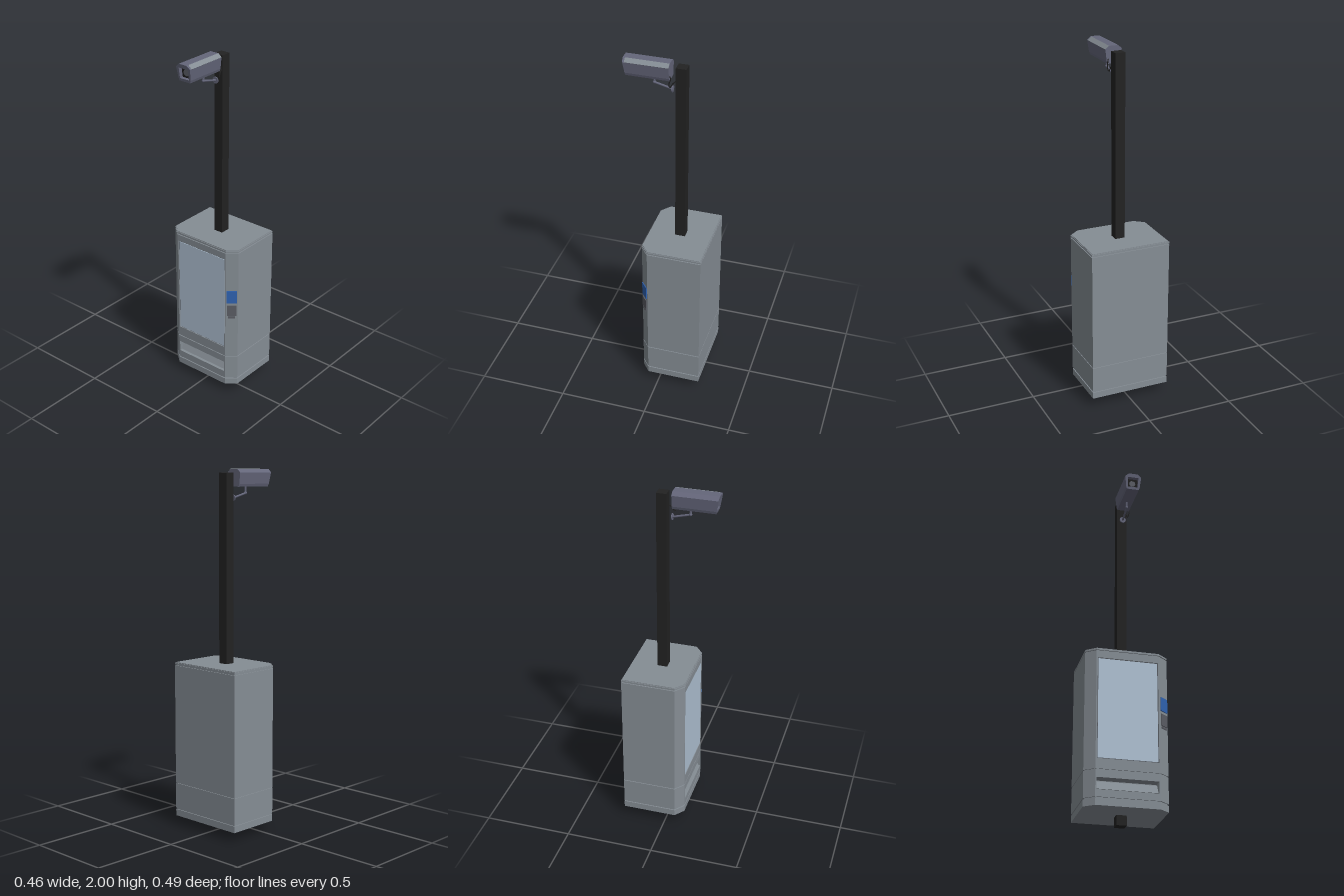
import * as THREE from 'three';

const flat = (name, color, side = THREE.FrontSide) => {
  const m = new THREE.MeshStandardMaterial({ color, side });
  m.name = name;
  return m;
};

export function createModel() {
  const group = new THREE.Group();
  const grey = flat('cabinet grey', 0x858d94);
  const dark = flat('dark grey', 0x5a5d64);
  const black = flat('black', 0x222222);
  const glass = flat('pale glass', 0xb0c2d4);
  const blue = flat('blue', 0x2f62b0);
  const slate = flat('camera slate', 0x64667a);

  const add = (name, geo, mat, x = 0, y = 0, z = 0, parent = group) => {
    const mesh = new THREE.Mesh(geo, mat);
    mesh.name = name;
    mesh.position.set(x, y, z);
    parent.add(mesh);
    return mesh;
  };
  const box = (name, w, h, d, mat, x, y, z, parent) =>
    add(name, new THREE.BoxGeometry(w, h, d), mat, x, y, z, parent);

  // Cabinet: stacked slices of a plan with cut front corners, optionally
  // inset for seams or notched at the front for openings
  const cabinet = new THREE.Group();
  cabinet.name = 'cabinet';
  group.add(cabinet);
  const slice = (name, y0, y1, inset = 0, notch = 0, half = 0.168) => {
    const w = 0.23 - inset, f = 0.105 - inset, b = -0.245 + inset;
    const c = 0.175 - inset * 0.5, s = 0.06 - inset * 0.5;
    const pts = [[-w, b], [-w, s], [-c, f]];
    if (notch) pts.push([-half, f], [-half, f - notch], [half, f - notch], [half, f]);
    pts.push([c, f], [w, s], [w, b]);
    const shape = new THREE.Shape(pts.map(([x, z]) => new THREE.Vector2(x, -z)));
    const geo = new THREE.ExtrudeGeometry(shape, { depth: y1 - y0, bevelEnabled: false });
    geo.rotateX(-Math.PI / 2);
    add(name, geo, grey, 0, y0, 0, cabinet);
  };
  slice('plinth', 0.055, 0.092);
  slice('plinthSeam', 0.092, 0.1, 0.006);
  slice('lowerBody', 0.1, 0.14);
  slice('slotBody', 0.14, 0.205, 0, 0.06);
  slice('aboveSlot', 0.205, 0.246);
  slice('middleSeam', 0.246, 0.251, 0.005);
  slice('doorSill', 0.251, 0.308);
  slice('doorBody', 0.308, 0.882, 0, 0.008);
  slice('doorHead', 0.882, 0.921);
  slice('topSeam', 0.921, 0.927, 0.006);
  slice('cap', 0.927, 0.936);
  slice('capEdge', 0.936, 0.94, 0.004);

  // Display window and delivery flap
  box('windowFrame', 0.336, 0.574, 0.003, dark, 0, 0.595, 0.0985, cabinet);
  box('window', 0.328, 0.566, 0.004, glass, 0, 0.595, 0.101, cabinet);
  const flap = box('deliveryFlap', 0.33, 0.055, 0.006, grey, 0, 0.168, 0.078, cabinet);
  flap.rotation.x = -0.5;

  // Payment panel on the cut corner
  const panel = new THREE.Group();
  panel.name = 'paymentPanel';
  panel.position.set(0.2025, 0, 0.0825);
  panel.rotation.y = Math.atan2(0.045, 0.055);
  cabinet.add(panel);
  box('cardReader', 0.058, 0.078, 0.006, blue, 0, 0.645, 0.002, panel);
  box('keypad', 0.054, 0.066, 0.006, dark, 0, 0.556, 0.002, panel);
  box('coinTray', 0.04, 0.012, 0.006, dark, 0, 0.513, 0.002, panel);

  // Square post running through the cabinet
  box('post', 0.056, 1.98, 0.056, black, 0, 0.99, -0.07);

  // Security camera housing: faceted section, front end sloping back below
  const cam = new THREE.Group();
  cam.name = 'camera';
  group.add(cam);
  const section = [[-0.035, 1.905], [0.035, 1.905], [0.04, 1.92], [0.047, 1.982],
    [0.026, 2.0], [-0.026, 2.0], [-0.047, 1.982], [-0.04, 1.92]];
  const hull = new THREE.Shape(section.map(([x, y]) => new THREE.Vector2(x, y)));
  const opening = [[-0.03, 1.92], [-0.03, 1.978], [0.03, 1.978], [0.03, 1.92]];
  const hole = new THREE.Path(opening.map(([x, y]) => new THREE.Vector2(x, y)));
  const slopeFront = (geo) => {
    const p = geo.attributes.position;
    for (let i = 0; i < p.count; i++) {
      if (p.getZ(i) > 0.1) p.setZ(i, p.getZ(i) - (2.0 - p.getY(i)) * 0.16);
    }
    geo.computeVertexNormals();
    return geo;
  };
  const housing = new THREE.ExtrudeGeometry(hull, { depth: 0.225, bevelEnabled: false });
  housing.translate(0, 0, -0.01);
  add('housing', slopeFront(housing), slate, 0, 0, 0, cam);
  const rim = hull.clone();
  rim.holes.push(hole);
  const hood = new THREE.ExtrudeGeometry(rim, { depth: 0.025, bevelEnabled: false });
  hood.translate(0, 0, 0.215);
  add('hood', slopeFront(hood), slate, 0, 0, 0, cam);
  box('lensWindow', 0.06, 0.058, 0.004, black, 0, 1.949, 0.208, cam).rotation.x = 0.16;
  const lens = add('lens', new THREE.CylinderGeometry(0.018, 0.018, 0.01, 20), dark, 0, 1.95, 0.208, cam);
  lens.rotation.x = Math.PI / 2;

  // Grey strip along the sloping roof edge
  const strip = box('roofStrip', 0.028, 0.002, 0.236, grey, 0.0368, 1.9915, 0.109, cam);
  strip.rotation.z = -Math.atan2(0.018, 0.021);

  // Bracket: arm, joint and mounting disc
  const rod = (name, pts, r, mat) => add(name, new THREE.TubeGeometry(
    new THREE.CatmullRomCurve3(pts.map((p) => new THREE.Vector3(...p))), 20, r, 8), mat, 0, 0, 0, cam);
  rod('hanger', [[0, 1.91, 0.08], [0, 1.868, 0.08]], 0.006, slate);
  rod('arm', [[0, 1.87, 0.085], [0, 1.845, -0.016]], 0.006, slate);
  add('joint', new THREE.SphereGeometry(0.009, 12, 8), slate, 0, 1.87, 0.08, cam);
  const disc = add('mountDisc', new THREE.CylinderGeometry(0.018, 0.018, 0.006, 20), slate, 0, 1.845, -0.018, cam);
  disc.rotation.x = Math.PI / 2;

  // Cable from the housing to the post
  rod('cable', [[0.03, 1.93, -0.008], [0.036, 1.925, -0.018], [0.034, 1.885, -0.008],
    [0.028, 1.865, -0.012], [0.024, 1.89, -0.028], [0.02, 1.905, -0.045]], 0.003, black);
  return group;
}
